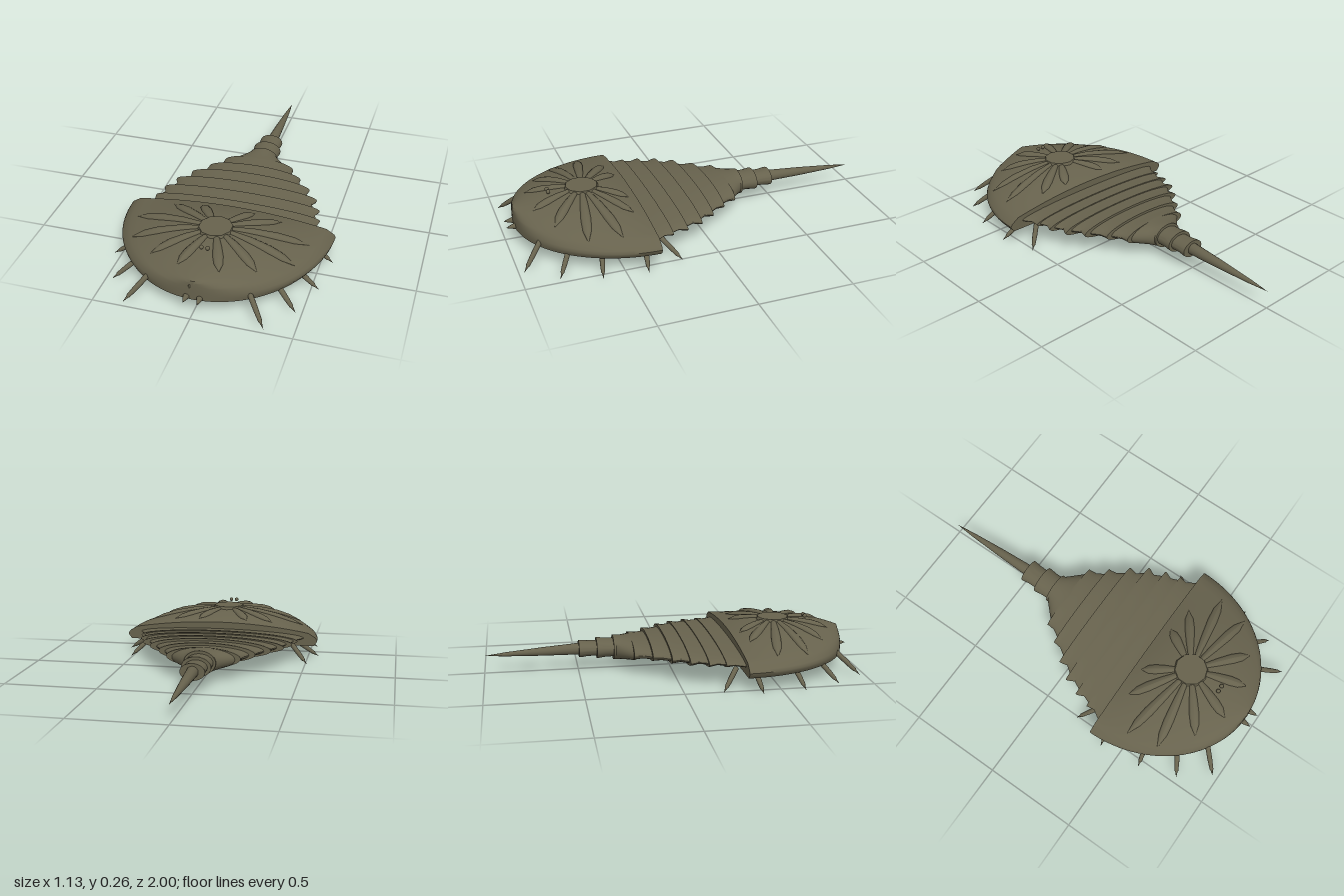
import * as THREE from 'three';
import { toCreasedNormals } from 'three/addons/utils/BufferGeometryUtils.js';

const shell = new THREE.MeshStandardMaterial({ color: 0x67624d });
shell.name = 'olive shell';

// Closed skin over cross-sections ordered back to front, each anticlockwise seen from +z
function loft(rings, crease = 0.6) {
  const n = rings[0].length, pos = [], idx = [];
  rings.forEach(r => r.forEach(p => pos.push(...p)));
  for (let i = 0; i < rings.length - 1; i++) for (let j = 0; j < n; j++) {
    const a = i * n + j, b = i * n + (j + 1) % n;
    idx.push(a, b, b + n, a, b + n, a + n);
  }
  [0, rings.length - 1].forEach((ri, end) => {
    const mid = [0, 1, 2].map(k => rings[ri].reduce((s, p) => s + p[k], 0) / n);
    const c = pos.length / 3;
    pos.push(...mid);
    for (let j = 0; j < n; j++) {
      const a = ri * n + j, b = ri * n + (j + 1) % n;
      idx.push(c, ...(end ? [a, b] : [b, a]));
    }
  });
  const g = new THREE.BufferGeometry();
  g.setAttribute('position', new THREE.Float32BufferAttribute(pos, 3));
  g.setIndex(idx);
  return toCreasedNormals(g, crease);
}

// Head shield: half-ellipse plan with a shallow dome
const BACK = 0.32, HALF = 0.555, LENGTH = 0.63;
const halfWidth = z => HALF * Math.sqrt(Math.max(0, 1 - ((z - BACK) / LENGTH) ** 2));
const crest = z => z < 0.58
  ? 0.252 - 0.045 * ((0.58 - z) / 0.26) ** 2
  : 0.252 - 0.052 * ((z - 0.58) / 0.37) ** 2;
const domeY = (x, z) => {
  const u = x / Math.max(0.001, 0.91 * halfWidth(z));
  return 0.162 + (crest(z) - 0.162) * (1 - Math.min(1, u * u));
};

function shieldRing(z) {
  const w = Math.max(halfWidth(z), 0.002), sag = 0.012 * (w / HALF) ** 2, ring = [];
  // Slightly sagging underside
  for (let i = 0; i <= 12; i++) {
    const u = i / 6 - 1;
    ring.push([u * 0.965 * w, 0.09 - sag * (1 - u * u) ** 2, z]);
  }
  // Rounded rim, dome, then the other rim
  const rim = [[0.993, 0.108], [1, 0.121], [0.985, 0.135]];
  rim.forEach(([u, y]) => ring.push([u * w, y, z]));
  for (let i = 0; i <= 24; i++) {
    const x = (1 - i / 12) * 0.91 * w;
    ring.push([x, domeY(x, z), z]);
  }
  rim.reverse().forEach(([u, y]) => ring.push([-u * w, y, z]));
  return ring;
}

// Elliptical cross-section for the body rings
const ellipse = (z, w, top, bottom, n = 40) => Array.from({ length: n }, (_, i) => {
  const a = i / n * Math.PI * 2;
  return [w * Math.cos(a), (top + bottom) / 2 + (top - bottom) / 2 * Math.sin(a), z];
});

export function createModel() {
  const model = new THREE.Group();
  const add = (name, geo) => {
    const m = new THREE.Mesh(geo, shell);
    m.name = name;
    model.add(m);
    return m;
  };
  const ball = (name, x, y, z, rx, ry = rx, rz = rx) => {
    const m = add(name, new THREE.SphereGeometry(1, 20, 12));
    m.position.set(x, y, z);
    m.scale.set(rx, ry, rz);
  };
  // Tapered limb from a to b; profile holds [radius, fraction along]
  const limb = (name, a, b, profile, sides = 10) => {
    const A = new THREE.Vector3(...a), d = new THREE.Vector3(...b).sub(A), len = d.length();
    const m = add(name, new THREE.LatheGeometry(
      profile.map(([r, t]) => new THREE.Vector2(r, t * len)), sides));
    m.position.copy(A);
    m.quaternion.setFromUnitVectors(new THREE.Vector3(0, 1, 0), d.normalize());
  };

  const rings = [];
  for (let i = 0; i <= 28; i++) rings.push(shieldRing(BACK + LENGTH * Math.sin(i / 28 * Math.PI / 2)));
  add('headShield', loft(rings, 0.8));

  // Overlapping body rings: rear z, rear / waist / front half width, rear top and bottom, front dip
  let front = 0.33;
  [
    [0.225, 0.452, 0.445, 0.49, 0.178, 0.09, 0.01],
    [0.14, 0.432, 0.415, 0.435, 0.182, 0.088, 0.01],
    [0.05, 0.397, 0.378, 0.405, 0.186, 0.086, 0.01],
    [-0.035, 0.337, 0.328, 0.365, 0.19, 0.084, 0.01],
    [-0.125, 0.264, 0.268, 0.305, 0.187, 0.082, 0.01],
    [-0.215, 0.2, 0.203, 0.236, 0.183, 0.078, 0.01],
    [-0.31, 0.085, 0.118, 0.18, 0.19, 0.06, 0.007],
    [-0.40, 0.078, 0.073, 0.072, 0.18, 0.072, 0.006],
    [-0.495, 0.065, 0.06, 0.059, 0.17, 0.08, 0.006],
  ].forEach(([z, wr, wm, wf, top, bottom, dip], i) => {
    add('bodyRing' + (i + 1), loft([
      ellipse(z, wr, top, bottom),
      ellipse(z + 0.012, wr * 0.995, top, bottom),
      ellipse(z + 0.045, wm, top - dip * 0.7, bottom + dip * 0.7),
      ellipse(front + 0.01, wf, top - dip, bottom + dip),
    ]));
    front = z;
  });

  // Tail spike
  limb('tailSpike', [0, 0.125, -0.48], [0, 0.108, -1], [[0, 0], [0.032, 0], [0.023, 0.4], [0.011, 0.78], [0, 1]], 16);

  // Rosette: centre plate and petals draped over the dome
  const plate = add('rosetteCentre', new THREE.CylinderGeometry(0.085, 0.092, 0.016, 10));
  plate.position.set(0, 0.254, 0.58);
  const petal = (tx, tz) => {
    const d = new THREE.Vector2(tx, tz - 0.58), len = d.length() - 0.075;
    d.normalize();
    const g = new THREE.LatheGeometry([[0, 0], [0.014, 0.02], [0.022, 0.3], [0.027, 0.6], [0.023, 0.8], [0, 1]]
      .map(([r, t]) => new THREE.Vector2(r, t * len)), 10);
    const p = g.attributes.position;
    for (let i = 0; i < p.count; i++) {
      const side = p.getX(i), along = p.getY(i) + 0.075, lift = p.getZ(i) * 0.6;
      const x = d.x * along - d.y * side, z = 0.58 + d.y * along + d.x * side;
      p.setXYZ(i, x, domeY(x, z) + lift, z);
    }
    g.computeVertexNormals();
    add('petal', g);
  };

  for (const s of [1, -1]) {
    [[0.14, 0.36], [0.29, 0.38], [0.46, 0.49], [0.43, 0.66], [0.27, 0.79], [0.105, 0.865]]
      .forEach(([x, z]) => petal(s * x, z));

    // Walking legs
    [
      [[0.25, 0.125, 0.86], [0.353, 0.012, 0.975]],
      [[0.35, 0.11, 0.74], [0.47, 0.012, 0.82]],
      [[0.40, 0.105, 0.59], [0.54, 0.012, 0.622]],
      [[0.43, 0.105, 0.375], [0.563, 0.012, 0.395]],
      [[0.41, 0.11, 0.285], [0.51, 0.012, 0.198]],
    ].forEach(([a, b]) => limb('leg', [s * a[0], a[1], a[2]], [s * b[0], b[1], b[2]],
      [[0, 0], [0.014, 0.02], [0.013, 0.5], [0.01, 0.78], [0.006, 0.82], [0, 1]]));

    // Feelers, eyes and small bumps
    limb('feeler', [s * 0.03, 0.104, 0.9], [s * 0.036, 0.1, 0.995], [[0, 0], [0.016, 0.05], [0.016, 0.5], [0.008, 0.8], [0, 1]]);
    ball('eye', s * 0.016, 0.259, 0.76, 0.011);
    ball('rimBump', s * 0.178, 0.166, 0.865, 0.012, 0.009, 0.012);
    for (let i = 0; i < 5; i++) ball('outerBump', s * (0.27 - 0.005 * i), 0.088, 0.36 + i * 0.11, 0.012, 0.009, 0.012);
    for (let i = 0; i < 3; i++) ball('innerBump', s * 0.17, 0.085, 0.4 + i * 0.13, 0.01);
  }
  ball('noseRidge', -0.015, 0.168, 0.945, 0.006, 0.016, 0.008);

  // Belly keel
  ball('bellyKeel', 0, 0.088, 0.45, 0.085, 0.034, 0.17);
  return model;
}
